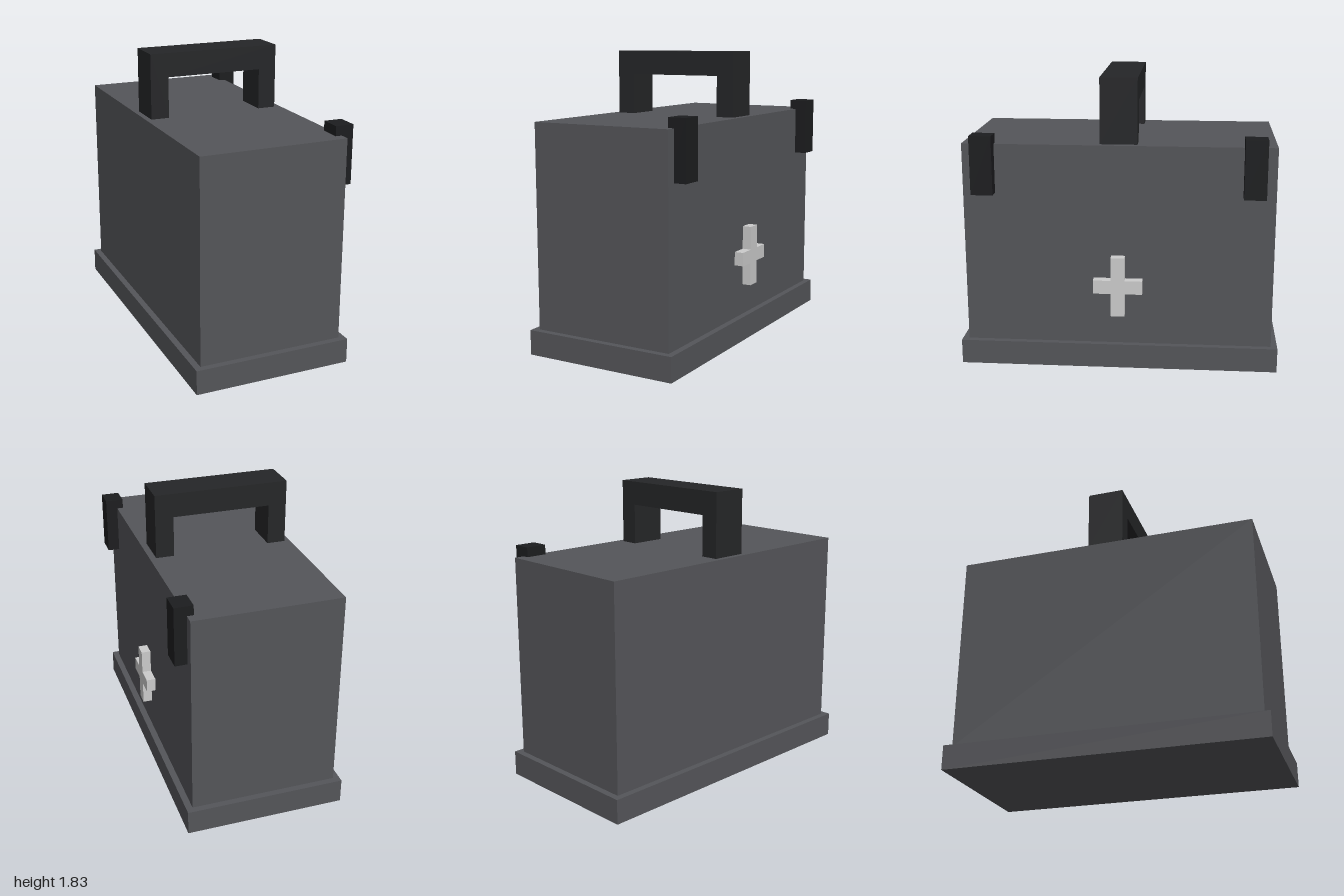
import * as THREE from 'three';

const material = (color) => new THREE.MeshStandardMaterial({ color });

// Box given by its min and max on each axis
function block(name, mat, [x0, x1], [y0, y1], [z0, z1]) {
  const mesh = new THREE.Mesh(new THREE.BoxGeometry(x1 - x0, y1 - y0, z1 - z0), mat);
  mesh.position.set((x0 + x1) / 2, (y0 + y1) / 2, (z0 + z1) / 2);
  mesh.name = name;
  return mesh;
}

// Outline from corner points, extruded along z from 0
function extrude(points, depth) {
  const shape = new THREE.Shape(points.map(([x, y]) => new THREE.Vector2(x, y)));
  return new THREE.ExtrudeGeometry(shape, { depth, bevelEnabled: false });
}

export function createModel() {
  const model = new THREE.Group();
  model.name = 'medicalCase';
  const shell = material(0x545559);
  const grip = material(0x252628);
  const latch = material(0x1c1d1f);
  const pale = material(0xc2c2c6);

  // Case body on a wider plinth
  model.add(block('base', shell, [-0.52, 0.48], [0, 0.155], [-1, 1]));
  model.add(block('body', shell, [-0.48, 0.44], [0.155, 1.425], [-0.96, 0.96]));

  // Carrying handle: a square arch across the lid
  const handle = new THREE.Mesh(extrude([
    [-0.445, 1.425], [-0.33, 1.425], [-0.33, 1.68], [0.285, 1.68],
    [0.285, 1.425], [0.4, 1.425], [0.4, 1.83], [-0.445, 1.83],
  ], 0.23), grip);
  handle.position.z = -0.115;
  handle.name = 'handle';
  model.add(handle);

  // Pair of clasps over the lid edge
  for (const [name, z] of [['frontClasp', 0.828], ['backClasp', -0.828]]) {
    model.add(block(name, latch, [0.4, 0.515], [1.12, 1.485], [z - 0.068, z + 0.068]));
  }

  // Raised cross on the left side
  const a = 0.043, w = 0.153, h = 0.19;
  const cross = new THREE.Mesh(extrude([
    [-a, -h], [a, -h], [a, -a], [w, -a], [w, a], [a, a],
    [a, h], [-a, h], [-a, a], [-w, a], [-w, -a], [-a, -a],
  ], 0.06), pale);
  cross.rotation.y = Math.PI / 2;
  cross.position.set(0.438, 0.542, 0);
  cross.name = 'cross';
  model.add(cross);

  return model;
}
